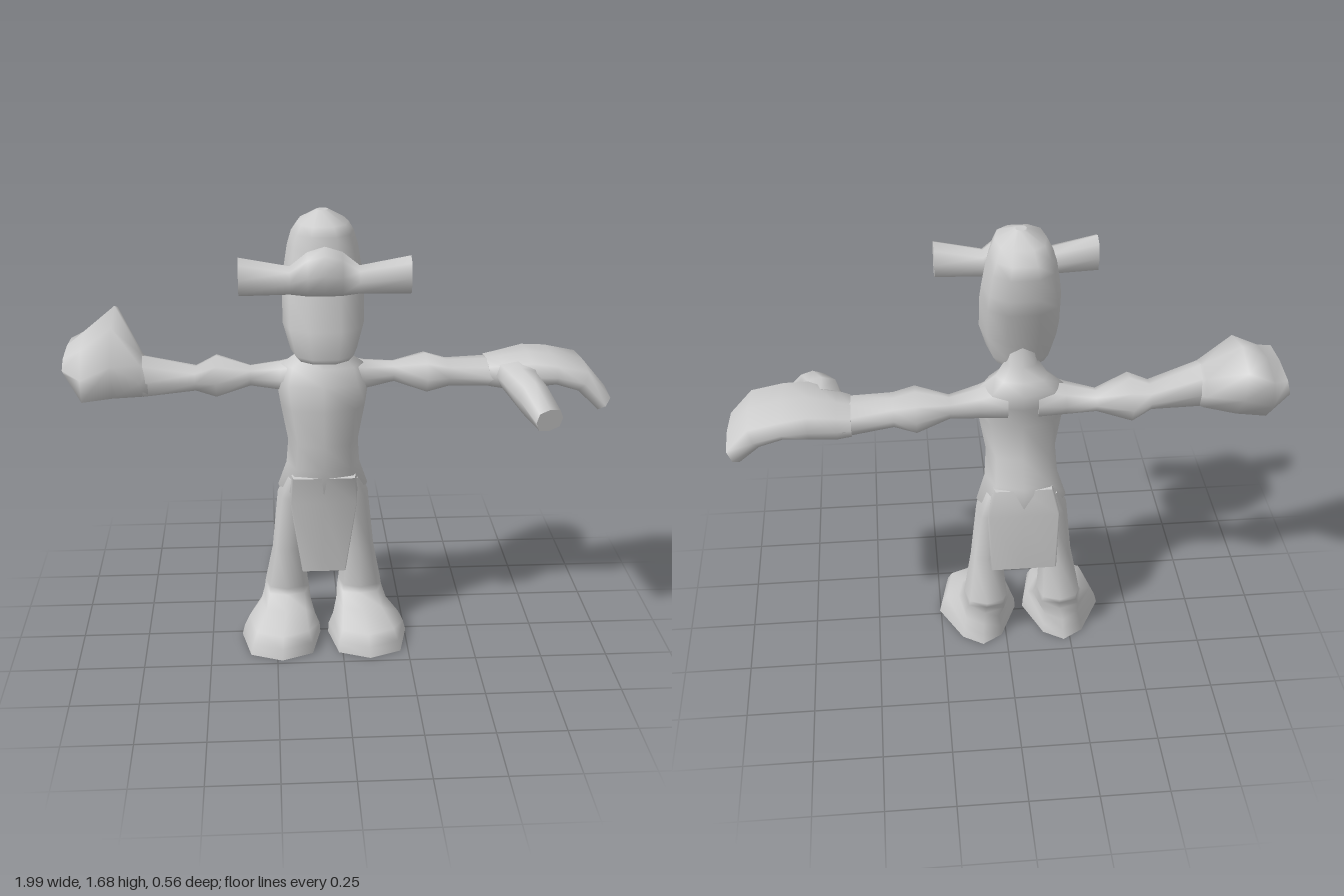
import * as THREE from 'three';

const clay = new THREE.MeshStandardMaterial({ color: 0xcccccc });
clay.name = 'clay grey';

// Smooth skin through rings along an axis.
// Row: [t, aMin, aMax, bMin, bMax, lean of t over a, skew of b over a]
// a, b are the remaining axes in x, y, z order; power < 1 squares the ring.
function loft(name, axis, rows, { sides = 8, power = 0.85 } = {}) {
  const pos = [], idx = [];
  const bend = (v) => Math.sign(v) * Math.pow(Math.abs(v), power);
  const put = (t, a, b) => {
    if (axis === 'x') pos.push(t, a, b);
    else if (axis === 'y') pos.push(a, t, b);
    else pos.push(a, b, t);
  };
  const ring = ([t, a0, a1, b0, b1, lean = 0, skew = 0]) => {
    for (let i = 0; i < sides; i++) {
      const w = (i / sides) * Math.PI * 2;
      const c = bend(Math.cos(w)), s = bend(Math.sin(w));
      put(t + lean * c, (a0 + a1) / 2 + ((a1 - a0) / 2) * c, (b0 + b1) / 2 + ((b1 - b0) / 2) * s + skew * c);
    }
  };
  rows.forEach(ring);
  for (let r = 0; r < rows.length - 1; r++) {
    for (let i = 0; i < sides; i++) {
      const j = (i + 1) % sides, p = r * sides, q = p + sides;
      idx.push(p + i, p + j, q + j, p + i, q + j, q + i);
    }
  }
  // Flat end caps with their own corners
  for (const end of [0, rows.length - 1]) {
    const base = pos.length / 3;
    ring(rows[end]);
    for (let i = 1; i < sides - 1; i++) {
      if (end === 0) idx.push(base, base + i + 1, base + i);
      else idx.push(base, base + i, base + i + 1);
    }
  }
  // Turn the faces outwards if the enclosed volume is negative
  let volume = 0;
  const at = (i) => new THREE.Vector3().fromArray(pos, i * 3);
  for (let i = 0; i < idx.length; i += 3) {
    volume += at(idx[i]).dot(at(idx[i + 1]).cross(at(idx[i + 2])));
  }
  if (volume < 0) idx.reverse();

  const geo = new THREE.BufferGeometry();
  geo.setAttribute('position', new THREE.Float32BufferAttribute(pos, 3));
  geo.setIndex(idx);
  geo.computeVertexNormals();
  const mesh = new THREE.Mesh(geo, clay);
  mesh.name = name;
  return mesh;
}

// Rows symmetric about x = 0: [y, halfWidth, zBack, zFront]
const even = (rows) => rows.map(([y, w, z0, z1]) => [y, -w, w, z0, z1]);

// Leg and foot in one skin; the heel is narrower than the toes
function leg(name, side) {
  const rows = [
    [0, 0.015, 0.32, -0.195, 0.23],
    [0.04, 0.018, 0.31, -0.185, 0.22],
    [0.08, 0.035, 0.29, -0.17, 0.195],
    [0.12, 0.05, 0.245, -0.15, 0.08],
    [0.155, 0.055, 0.23, -0.155, 0.0],
    [0.19, 0.06, 0.225, -0.175, 0.015],
    [0.35, 0.075, 0.195, -0.1, 0.0],
    [0.58, 0.03, 0.172, -0.15, 0.045],
    [0.66, 0.03, 0.14, -0.13, 0.05],
  ].map(([y, a, b, z0, z1]) => (side > 0 ? [y, a, b, z0, z1] : [y, -b, -a, z0, z1]));
  const mesh = loft(name, 'y', rows, { power: 0.75 });
  const p = mesh.geometry.attributes.position;
  for (let i = 0; i < p.count; i++) {
    if (p.getY(i) > 0.1 || p.getZ(i) > -0.05) continue;
    p.setX(i, side * 0.145 + (p.getX(i) - side * 0.145) * 0.65);
  }
  mesh.geometry.computeVertexNormals();
  return mesh;
}

export function createModel() {
  const model = new THREE.Group();
  model.name = 'figure';

  const body = new THREE.Group();
  body.name = 'body';
  body.position.x = -0.065;
  model.add(body);

  body.add(loft('torso', 'y', even([
    [0.53, 0.13, -0.12, 0.03],
    [0.61, 0.17, -0.16, 0.065],
    [0.71, 0.137, -0.15, 0.09],
    [0.81, 0.13, -0.1, 0.095],
    [0.95, 0.155, -0.09, 0.1],
    [1.04, 0.17, -0.115, 0.09],
    [1.1, 0.15, -0.125, 0.06],
    [1.14, 0.095, -0.095, 0.04],
    [1.19, 0.06, -0.07, 0.04],
    [1.27, 0.06, -0.05, 0.05],
  ])));

  body.add(loft('head', 'y', even([
    [1.17, 0.1, -0.03, 0.205],
    [1.195, 0.118, -0.04, 0.235],
    [1.29, 0.145, -0.065, 0.222],
    [1.42, 0.145, -0.11, 0.2],
    [1.48, 0.138, -0.12, 0.185],
    [1.56, 0.125, -0.122, 0.17],
    [1.61, 0.11, -0.118, 0.16],
    [1.645, 0.09, -0.065, 0.15],
    [1.685, 0.02, 0.015, 0.055],
  ]), { sides: 10, power: 0.8 }));

  // Bar across the brow, swelling at the middle and at both tips
  const half = [
    [0.295, 1.425, 1.56, 0.155, 0.265],
    [0.12, 1.425, 1.525, 0.15, 0.25],
    [0.06, 1.42, 1.575, 0.15, 0.268],
  ];
  const mirrored = half.map(([x, ...rest]) => [-x, ...rest]).reverse();
  body.add(loft('browBar', 'x', [...half, [0, 1.42, 1.595, 0.15, 0.28], ...mirrored]));

  // Cloth flaps, thick at the waist and sharp at the hem
  body.add(loft('frontFlap', 'y', even([
    [0.27, 0.083, 0.02, 0.026],
    [0.57, 0.128, 0.0, 0.056],
    [0.68, 0.12, 0.0, 0.08],
  ]), { power: 0.15 }));
  body.add(loft('backFlap', 'y', even([
    [0.35, 0.125, -0.166, -0.16],
    [0.6, 0.135, -0.165, -0.125],
    [0.7, 0.11, -0.14, -0.08],
  ]), { power: 0.15 }));

  body.add(leg('leftLeg', 1), leg('rightLeg', -1));

  // Right arm ending in a fist
  model.add(loft('rightArm', 'x', [
    [-0.12, 0.98, 1.13, -0.12, 0.06],
    [-0.22, 0.995, 1.1, -0.12, 0.02],
    [-0.33, 1.005, 1.08, -0.115, -0.02],
    [-0.455, 0.97, 1.122, -0.165, 0.04],
    [-0.53, 1.0, 1.085, -0.12, 0.02],
    [-0.72, 0.985, 1.14, -0.11, 0.065],
  ]));
  model.add(loft('rightFist', 'x', [
    [-0.7, 0.99, 1.125, -0.1, 0.06],
    [-0.725, 0.985, 1.145, -0.125, 0.068],
    [-0.825, 0.98, 1.29, -0.27, 0.09, 0, -0.07],
    [-0.935, 0.975, 1.21, -0.25, 0.11, 0, -0.04],
    [-0.995, 1.09, 1.17, -0.23, 0.1],
  ]));

  // Left arm widening into a flat hand with curled fingertips
  model.add(loft('leftArm', 'x', [
    [-0.01, 0.98, 1.13, -0.12, 0.06],
    [0.09, 0.995, 1.1, -0.12, 0.02],
    [0.2, 1.01, 1.085, -0.125, -0.025],
    [0.32, 0.97, 1.115, -0.172, 0.025],
    [0.4, 0.995, 1.09, -0.15, 0.012],
    [0.58, 0.99, 1.085, -0.195, 0.015],
  ]));
  model.add(loft('leftHand', 'x', [
    [0.55, 0.995, 1.085, -0.19, 0.01],
    [0.6, 0.99, 1.095, -0.2, 0.03],
    [0.7, 1.005, 1.115, -0.222, 0.075],
    [0.79, 1.02, 1.105, -0.235, 0.088],
    [0.89, 0.995, 1.08, -0.235, 0.09, 0.022],
    [0.97, 0.925, 0.98, -0.215, 0.095, 0.027],
  ], { power: 0.6 }));
  model.add(loft('leftThumb', 'z', [
    [0.0, 0.57, 0.74, 1.0, 1.1],
    [0.08, 0.59, 0.72, 0.99, 1.1],
    [0.17, 0.635, 0.745, 0.945, 1.075],
    [0.245, 0.68, 0.785, 0.92, 1.0, -0.025],
  ], { power: 0.75 }));

  return model;
}
